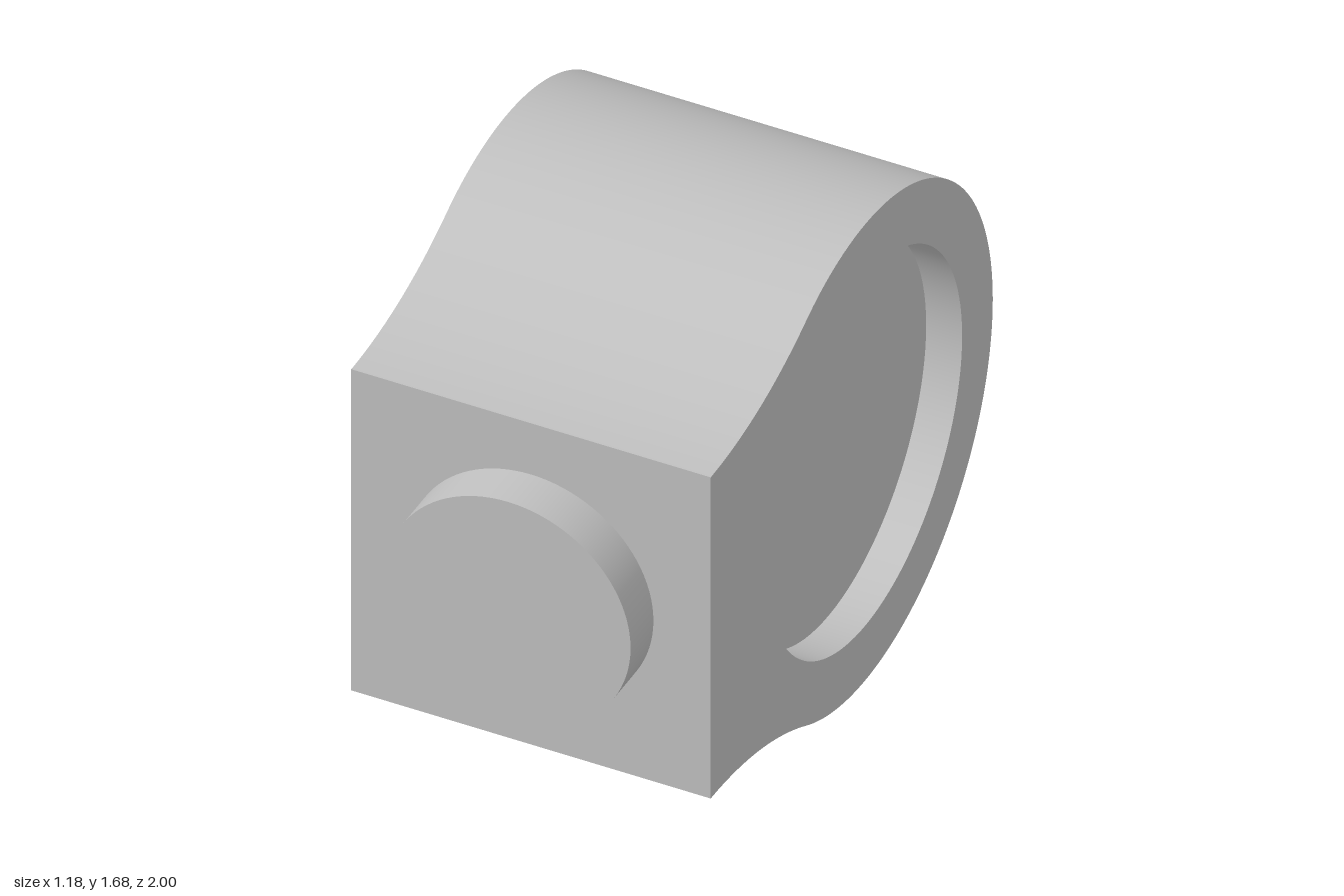
import * as THREE from 'three';
import { toCreasedNormals } from 'three/addons/utils/BufferGeometryUtils.js';

export function createModel() {
  const group = new THREE.Group();
  const grey = new THREE.MeshStandardMaterial({ color: 0xc0c0c0 });
  grey.name = 'grey';

  const half = 0.59;         // half width, and half height of the square front
  const R = 0.838;           // round body radius
  const cy = 0.838;          // axis height
  const cz = -0.162;         // axis depth
  const front = 0.85;        // plane of the square front
  const bore = 0.637;        // recess radius
  const recess = 0.118;      // recess depth

  // Concave arc that leaves the front horizontally and meets the round body tangentially
  const d = front - cz;
  const r = (d * d + half * half - R * R) / (2 * (R - half));
  const t = Math.atan2(half + r, d);

  const add = (name, geometry) => {
    const mesh = new THREE.Mesh(geometry, grey);
    mesh.name = name;
    group.add(mesh);
    return mesh;
  };

  // Side profile (shape x runs towards the back), extruded across the width
  const profile = new THREE.Shape();
  profile.moveTo(-front, cy - half);
  profile.absarc(-front, cy - half - r, r, Math.PI / 2, t, true);
  profile.absarc(-cz, cy, R, t - Math.PI, Math.PI - t, false);
  profile.absarc(-front, cy + half + r, r, -t, -Math.PI / 2, true);
  profile.closePath();
  const hole = new THREE.Path();
  hole.absarc(-cz, cy, bore, 0, Math.PI * 2, true);
  profile.holes.push(hole);
  const body = new THREE.ExtrudeGeometry(profile, { depth: half * 2, bevelEnabled: false, curveSegments: 64 });
  body.translate(0, 0, -half).rotateY(Math.PI / 2);
  add('housing', toCreasedNormals(body, 0.5));

  // Solid web filling the bore, leaving a shallow recess on each side
  const web = new THREE.CylinderGeometry(bore, bore, 2 * (half - recess), 96);
  web.rotateZ(Math.PI / 2);
  add('recessFloor', web).position.set(0, cy, cz);

  // Round boss on the front
  const boss = new THREE.CylinderGeometry(0.402, 0.402, 1 - front, 96);
  boss.rotateX(Math.PI / 2);
  add('frontBoss', boss).position.set(0, cy, (1 + front) / 2);

  return group;
}
